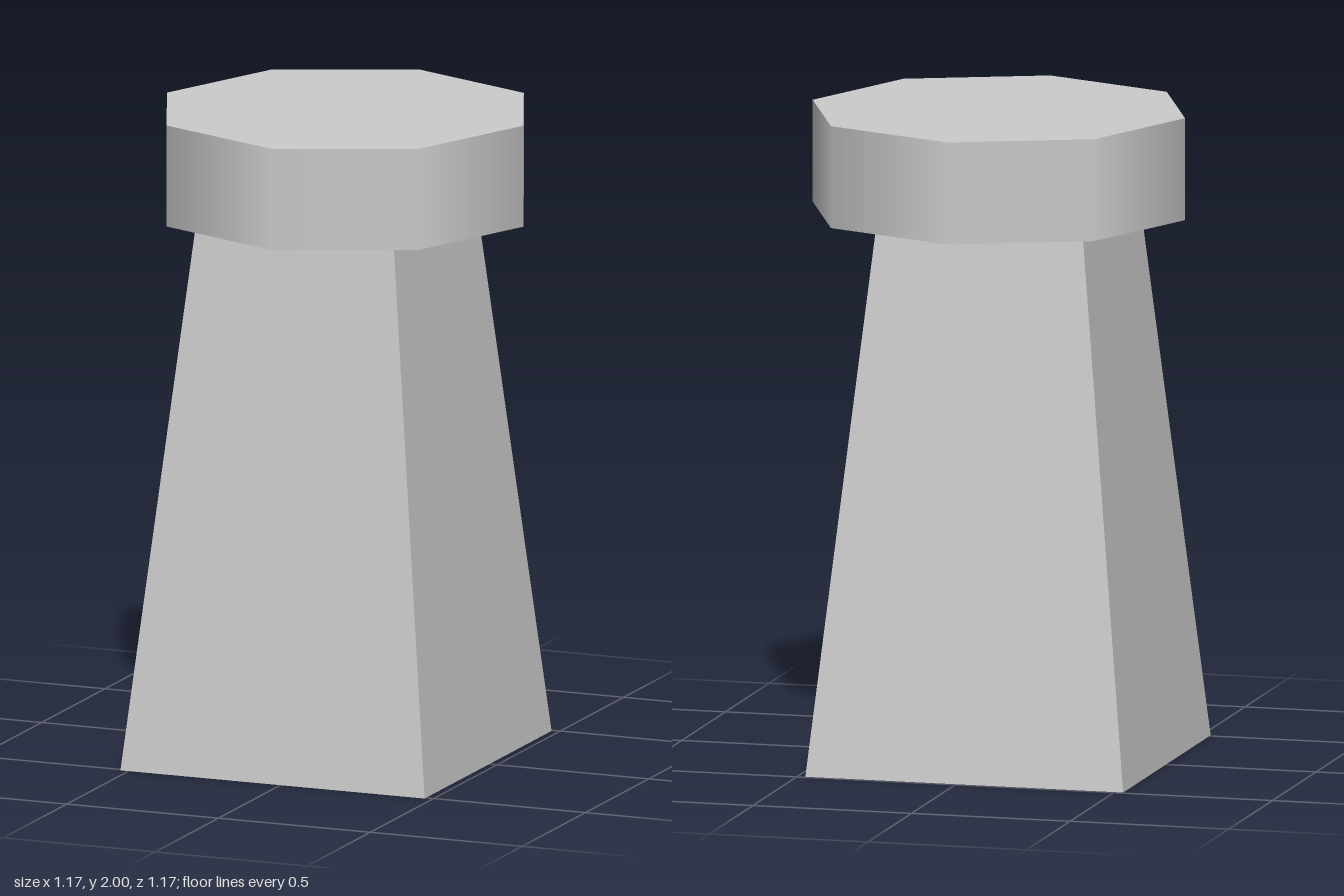
import * as THREE from 'three';

const CAP_BOTTOM = 1.685;
const TOP = 2;

export function createModel() {
  const group = new THREE.Group();
  const flat = new THREE.MeshStandardMaterial({ color: 0xcccccc, flatShading: true });
  const smooth = new THREE.MeshStandardMaterial({ color: 0xcccccc });

  // Square tapering shaft, slightly off the cap's axis
  const shaftGeometry = new THREE.CylinderGeometry(
    0.325 * Math.SQRT2, 0.501 * Math.SQRT2, CAP_BOTTOM, 4, 1, false, Math.PI / 4);
  const shaft = new THREE.Mesh(shaftGeometry, flat);
  shaft.name = 'shaft';
  shaft.position.set(-0.026, CAP_BOTTOM / 2, 0.01);
  group.add(shaft);

  // Eight-sided cap with smooth-shaded rim and corners on the axes
  const cap = new THREE.Mesh(
    new THREE.CylinderGeometry(0.587, 0.587, TOP - CAP_BOTTOM, 8), smooth);
  cap.name = 'cap';
  cap.position.y = (TOP + CAP_BOTTOM) / 2;
  group.add(cap);

  return group;
}
